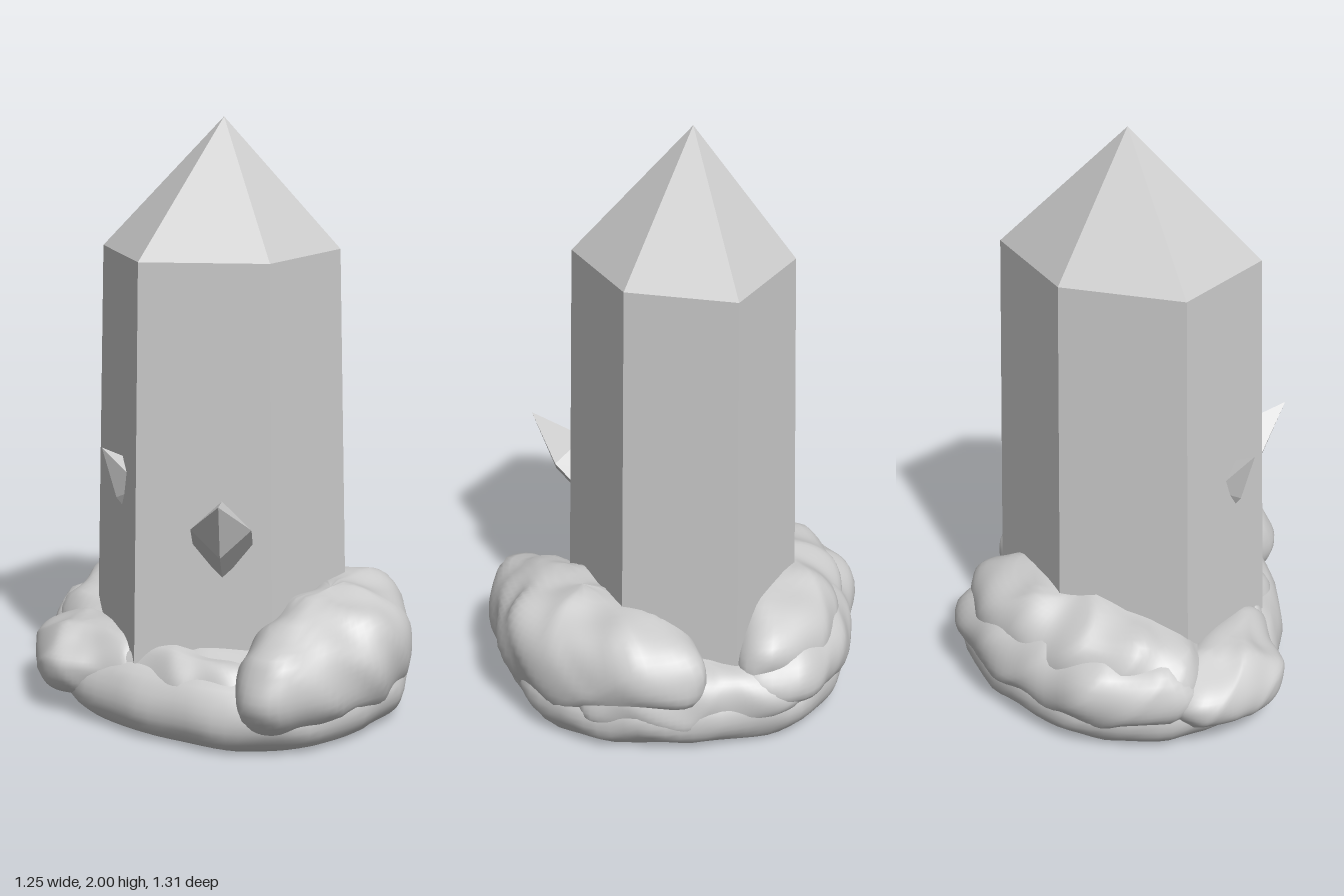
import * as THREE from 'three';

const grey = new THREE.MeshStandardMaterial({ color: 0xcccccc });
grey.name = 'stone grey';
const V = (x, y, z) => new THREE.Vector3(x, y, z);

// Faceted crystal: flat root, side walls between two rings, then a pointed cap.
function crystal(name, bottom, top, tip) {
  const tris = [];
  const n = top.length;
  for (let i = 0; i < n; i++) {
    const k = (i + 1) % n;
    tris.push(bottom[i], bottom[k], top[i], top[i], bottom[k], top[k], top[i], top[k], tip);
    if (i > 0 && k > 0) tris.push(bottom[0], bottom[k], bottom[i]);
  }
  const geo = new THREE.BufferGeometry().setFromPoints(tris);
  geo.computeVertexNormals(); // unindexed, so every facet stays flat
  const mesh = new THREE.Mesh(geo, grey);
  mesh.name = name;
  return mesh;
}

// Small four-sided crystal growing from a root towards its tip.
function shard(name, root, shoulder, tip, radius) {
  const d = tip.clone().sub(root).normalize();
  const u = V(0, 1, 0).addScaledVector(d, -d.y).normalize();
  const s = u.clone().cross(d);
  const ring = (c) => Array.from({ length: 4 }, (_, i) => {
    const a = (i * Math.PI) / 2;
    return c.clone().addScaledVector(s, radius * Math.cos(a)).addScaledVector(u, radius * Math.sin(a));
  });
  return crystal(name, ring(root), ring(shoulder), tip);
}

// Lumpy noise with sharper ridges, about -1 to 1.
function lumps(x, y, z, seed) {
  const a = Math.sin(9 * x + 5 * y + seed) * Math.sin(8 * z - 6 * y + seed * 2.3);
  const b = Math.sin(19 * x - 13 * z + 11 * y + seed * 1.7) * Math.sin(15 * z + 12 * x - 14 * y + seed);
  const c = 1 - 2 * Math.abs(Math.sin(10 * z + 7 * x + 8 * y + seed * 3.1));
  const d = 1 - 2 * Math.abs(Math.sin(13 * x - 9 * z + 14 * y + seed * 0.7));
  return 0.35 * a + 0.25 * b + 0.2 * c + 0.2 * d;
}

// Boulder: plan outline [x, z] swollen between two heights, tilted along x, floor cut at y = 0.
function boulder(name, outline, y0, y1, seed, tilt = 0, rough = 0.03) {
  const pts = outline.map(([x, z]) => V(x, 0, z));
  if (THREE.ShapeUtils.area(outline.map(([x, y]) => ({ x, y }))) < 0) pts.reverse();
  const around = 80;
  const rows = 28;
  const plan = new THREE.CatmullRomCurve3(pts, true).getSpacedPoints(around).slice(0, around);
  const mid = plan.reduce((m, p) => m.addScaledVector(p, 1 / around), V(0, 0, 0));
  const pos = [];
  const index = [];
  for (let j = 0; j <= rows; j++) {
    const t = (j / rows - 0.5) * Math.PI;
    const r = Math.pow(Math.max(0, Math.cos(t)), 0.85);
    const h = Math.sign(t) * Math.pow(Math.abs(Math.sin(t)), 0.95);
    for (let i = 0; i < around; i++) {
      const x = mid.x + (plan[i].x - mid.x) * r;
      const z = mid.z + (plan[i].z - mid.z) * r;
      const y = (y0 + y1) / 2 + (h * (y1 - y0)) / 2 + tilt * (x - mid.x);
      const k = rough * lumps(x, y, z, seed);
      const out = V(plan[i].x - mid.x, 0, plan[i].z - mid.z).normalize();
      pos.push(x + out.x * k * r, Math.max(0, y + k * h), z + out.z * k * r);
      if (j < rows) {
        const a = j * around + i;
        const b = j * around + ((i + 1) % around);
        index.push(a, a + around, b, b, a + around, b + around);
      }
    }
  }
  const geo = new THREE.BufferGeometry();
  geo.setAttribute('position', new THREE.Float32BufferAttribute(pos, 3));
  geo.setIndex(index);
  geo.computeVertexNormals();
  const mesh = new THREE.Mesh(geo, grey);
  mesh.name = name;
  return mesh;
}

export function createModel() {
  const model = new THREE.Group();
  model.name = 'crystalOnRock';

  // Main crystal, widening slightly towards the ground
  const hex = [[0, 0.325], [0.35, 0.14], [0.425, -0.215], [0.06, -0.4], [-0.33, -0.27], [-0.365, 0.12]];
  const top = hex.map(([x, z]) => V(x, 1.57, z));
  const bottom = hex.map(([x, z]) => V(0.02 + (x - 0.02) * 1.11, 0.02, -0.07 + (z + 0.07) * 1.11));
  model.add(crystal('mainCrystal', bottom, top, V(0.022, 2, -0.068)));

  // Side shards
  model.add(shard('frontShard', V(-0.123, 0.622, 0.24), V(-0.188, 0.73, 0.363), V(-0.26, 0.85, 0.5), 0.098));
  model.add(shard('sideShard', V(-0.27, 0.72, -0.02), V(-0.335, 0.81, -0.02), V(-0.443, 0.94, -0.02), 0.075));

  // Rock base: a flat-bottomed core ringed with boulders
  model.add(
    boulder('rockCore', [[0.59, 0.1], [0.49, 0.4], [0.2, 0.57], [-0.13, 0.56], [-0.41, 0.26], [-0.55, -0.05],
      [-0.48, -0.38], [-0.2, -0.6], [0.15, -0.61], [0.48, -0.43]], -0.1, 0.33, 1, 0, 0.016),
    boulder('frontBoulder', [[-0.2, 0.53], [-0.16, 0.62], [-0.03, 0.65], [0.15, 0.62], [0.32, 0.57], [0.48, 0.43],
      [0.59, 0.22], [0.63, 0.05], [0.56, -0.12], [0.42, -0.1], [0.2, 0.1], [-0.05, 0.3]], 0.03, 0.46, 2.4, 0.06),
    boulder('backLowerBoulder', [[-0.48, -0.42], [-0.4, -0.53], [-0.2, -0.645], [0, -0.64], [0.2, -0.62],
      [0.36, -0.55], [0.5, -0.46], [0.52, -0.25], [0.3, -0.15], [0, -0.2], [-0.3, -0.2]], 0.02, 0.38, 3.7),
    boulder('backUpperBoulder', [[-0.46, -0.42], [-0.25, -0.56], [0.1, -0.6], [0.32, -0.54], [0.47, -0.42],
      [0.5, -0.26], [0.3, -0.2], [0, -0.25], [-0.35, -0.18]], 0.06, 0.45, 5.2, 0.07),
    boulder('sideBoulder', [[-0.635, -0.13], [-0.6, -0.3], [-0.5, -0.45], [-0.4, -0.44], [-0.3, -0.2], [-0.3, 0.1],
      [-0.38, 0.16], [-0.5, 0.04], [-0.56, -0.02]], 0.04, 0.3, 6.1, 0.05),
    boulder('frontSideBoulder', [[-0.47, 0.03], [-0.4, 0.18], [-0.3, 0.35], [-0.18, 0.48], [0, 0.4], [-0.1, 0.1]],
      -0.02, 0.3, 7.3),
    boulder('lowerSlab', [[0.53, 0.28], [0.59, 0.1], [0.57, -0.15], [0.54, -0.35], [0.46, -0.45], [0.3, -0.35], [0.3, 0.1]],
      0.03, 0.3, 8.8),
  );

  return model;
}
